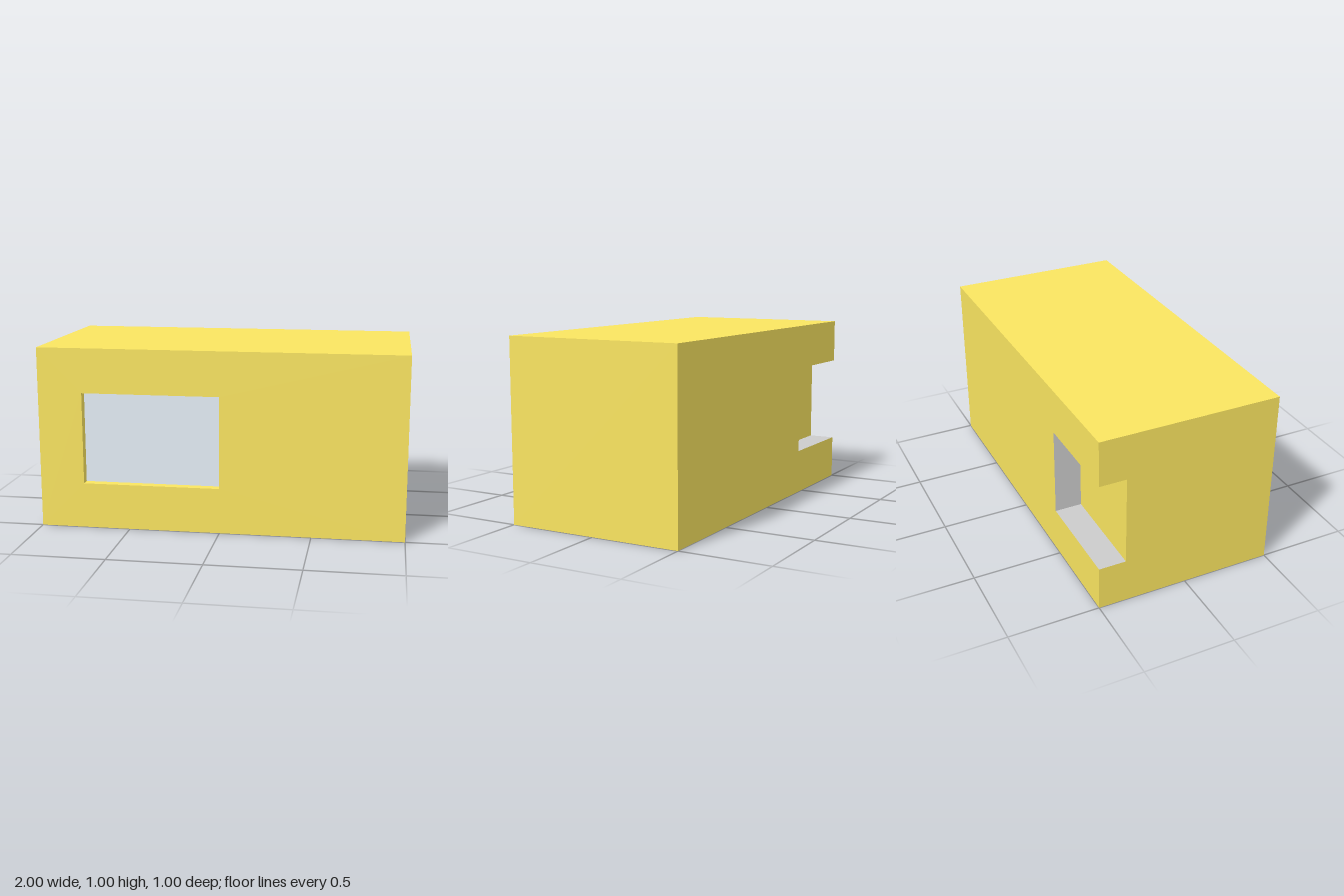
import * as THREE from 'three';

const yellow = new THREE.MeshStandardMaterial({ color: 0xfae560 });
const grey = new THREE.MeshStandardMaterial({ color: 0xcccccc });
const glass = new THREE.MeshStandardMaterial({ color: 0xe4eef7 });

// Turns that point a flat panel (facing +z) in each direction
const H = Math.PI / 2;
const FACING = {
  front: [0, 0], // local x = x,  local y = y
  back: [0, 2 * H], // local x = -x, local y = y
  right: [0, H], // local x = -z, local y = y
  left: [0, -H], // local x = z,  local y = y
  up: [-H, 0], // local x = x,  local y = -z
  down: [H, 0], // local x = x,  local y = z
};

const rect = (x0, x1, y0, y1) => [[x0, y0], [x1, y0], [x1, y1], [x0, y1]];
const toPoints = (list) => list.map(([x, y]) => new THREE.Vector2(x, y));

// Flat panel at a signed distance along the direction it faces
function panel(name, facing, distance, outline, material = yellow, hole = null) {
  const shape = new THREE.Shape(toPoints(outline));
  if (hole) shape.holes.push(new THREE.Path(toPoints(hole)));
  const geometry = new THREE.ShapeGeometry(shape);
  const [rx, ry] = FACING[facing];
  geometry.translate(0, 0, distance).rotateX(rx).rotateY(ry);
  const mesh = new THREE.Mesh(geometry, material);
  mesh.name = name;
  return mesh;
}

function group(name, ...parts) {
  const g = new THREE.Group();
  g.name = name;
  return g.add(...parts);
}

export function createModel() {
  // Window recess in the front
  const w = { x0: -0.755, x1: 0, y0: 0.25, y1: 0.755, z: 0.45 };
  // Notch cut through the back corner at the -x end
  const n = { x: -0.45, y0: 0.25, y1: 0.75, z: -0.35 };
  const windowOutline = rect(w.x0, w.x1, w.y0, w.y1);

  // Rectangle with a step cut into one vertical edge
  const backOutline = [[-1, 0], [1, 0], [1, n.y0], [-n.x, n.y0], [-n.x, n.y1], [1, n.y1], [1, 1], [-1, 1]];
  const endOutline = [[-0.5, 0], [0.5, 0], [0.5, 1], [-0.5, 1], [-0.5, n.y1], [n.z, n.y1], [n.z, n.y0], [-0.5, n.y0]];

  const body = group('body',
    panel('frontWall', 'front', 0.5, rect(-1, 1, 0, 1), yellow, windowOutline),
    panel('backWall', 'back', 0.5, backOutline),
    panel('plainEndWall', 'right', 1, rect(-0.5, 0.5, 0, 1)),
    panel('notchedEndWall', 'left', 1, endOutline),
    panel('roof', 'up', 1, rect(-1, 1, -0.5, 0.5)),
    panel('base', 'down', 0, rect(-1, 1, -0.5, 0.5)));

  const frontWindow = group('window',
    panel('windowPane', 'front', w.z, windowOutline, glass),
    panel('windowSill', 'up', w.y0, rect(w.x0, w.x1, -0.5, -w.z)),
    panel('windowHead', 'down', -w.y1, rect(w.x0, w.x1, w.z, 0.5)),
    panel('windowJambA', 'right', w.x0, rect(-0.5, -w.z, w.y0, w.y1)),
    panel('windowJambB', 'left', -w.x1, rect(w.z, 0.5, w.y0, w.y1)));

  const notch = group('cornerNotch',
    panel('notchBack', 'back', -n.z, rect(-n.x, 1, n.y0, n.y1)),
    panel('notchFloor', 'up', n.y0, rect(-1, n.x, -n.z, 0.5), grey),
    panel('notchCeiling', 'down', -n.y1, rect(-1, n.x, -0.5, n.z), grey),
    panel('notchSide', 'left', -n.x, rect(-0.5, n.z, n.y0, n.y1), grey));

  return group('cabin', body, frontWindow, notch);
}
